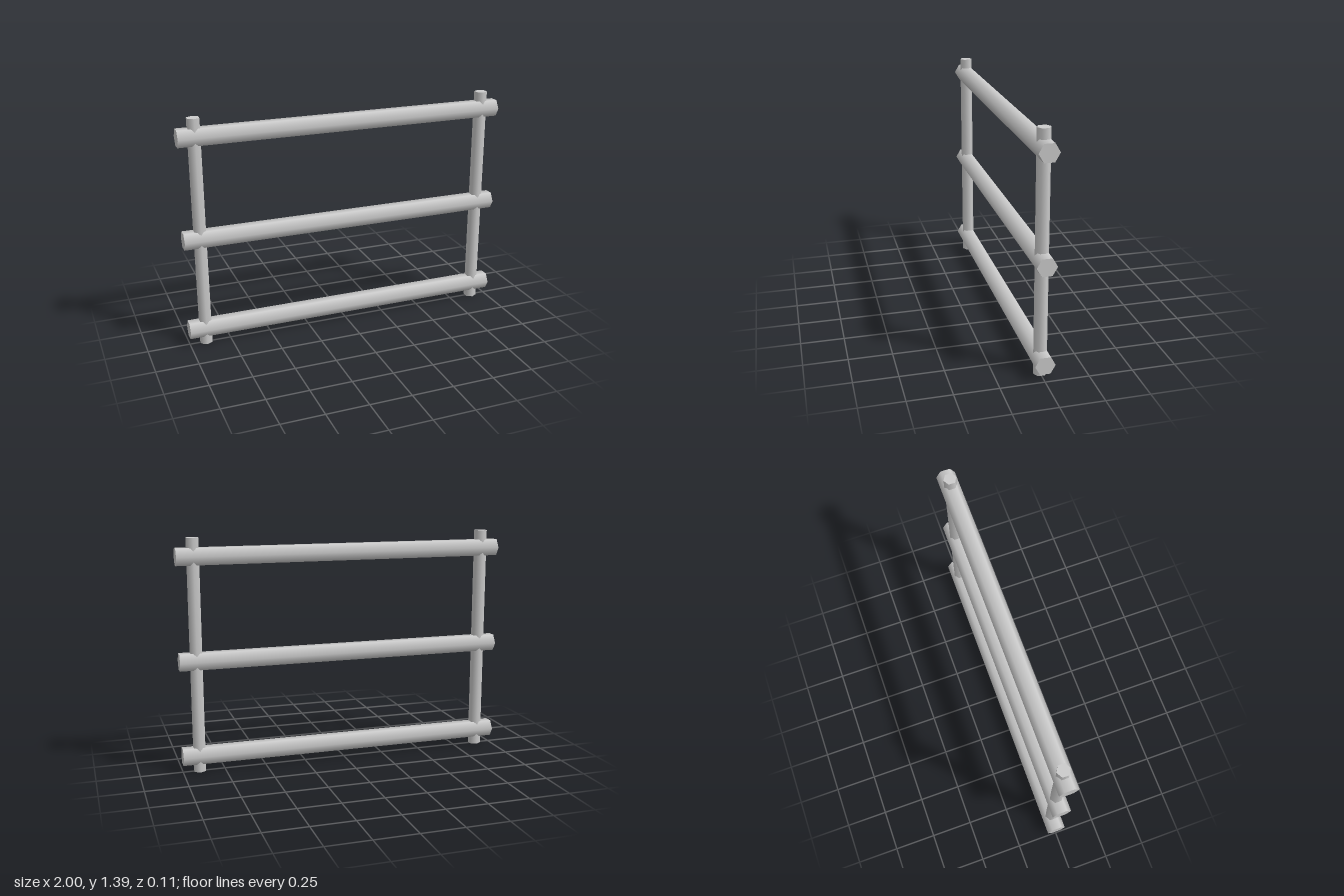
import * as THREE from 'three';

const material = new THREE.MeshStandardMaterial({ color: 0xcccccc });

// Six-sided pole with smooth-shaded sides, corners pointing to +z and -z
function pole(name, radius, length) {
  const mesh = new THREE.Mesh(new THREE.CylinderGeometry(radius, radius, length, 6), material);
  mesh.name = name;
  return mesh;
}

export function createModel() {
  const fence = new THREE.Group();
  fence.name = 'fence';

  // Upright posts
  const postHeight = 1.387;
  for (const [name, side] of [['leftPost', 1], ['rightPost', -1]]) {
    const post = pole(name, 0.039, postHeight);
    post.position.set(side * 0.9, postHeight / 2, 0);
    fence.add(post);
  }

  // Horizontal rails, running through the posts
  for (const [name, y] of [['bottomRail', 0.097], ['middleRail', 0.669], ['topRail', 1.279]]) {
    const rail = pole(name, 0.057, 2);
    rail.rotation.z = Math.PI / 2;
    rail.position.y = y;
    fence.add(rail);
  }

  return fence;
}
